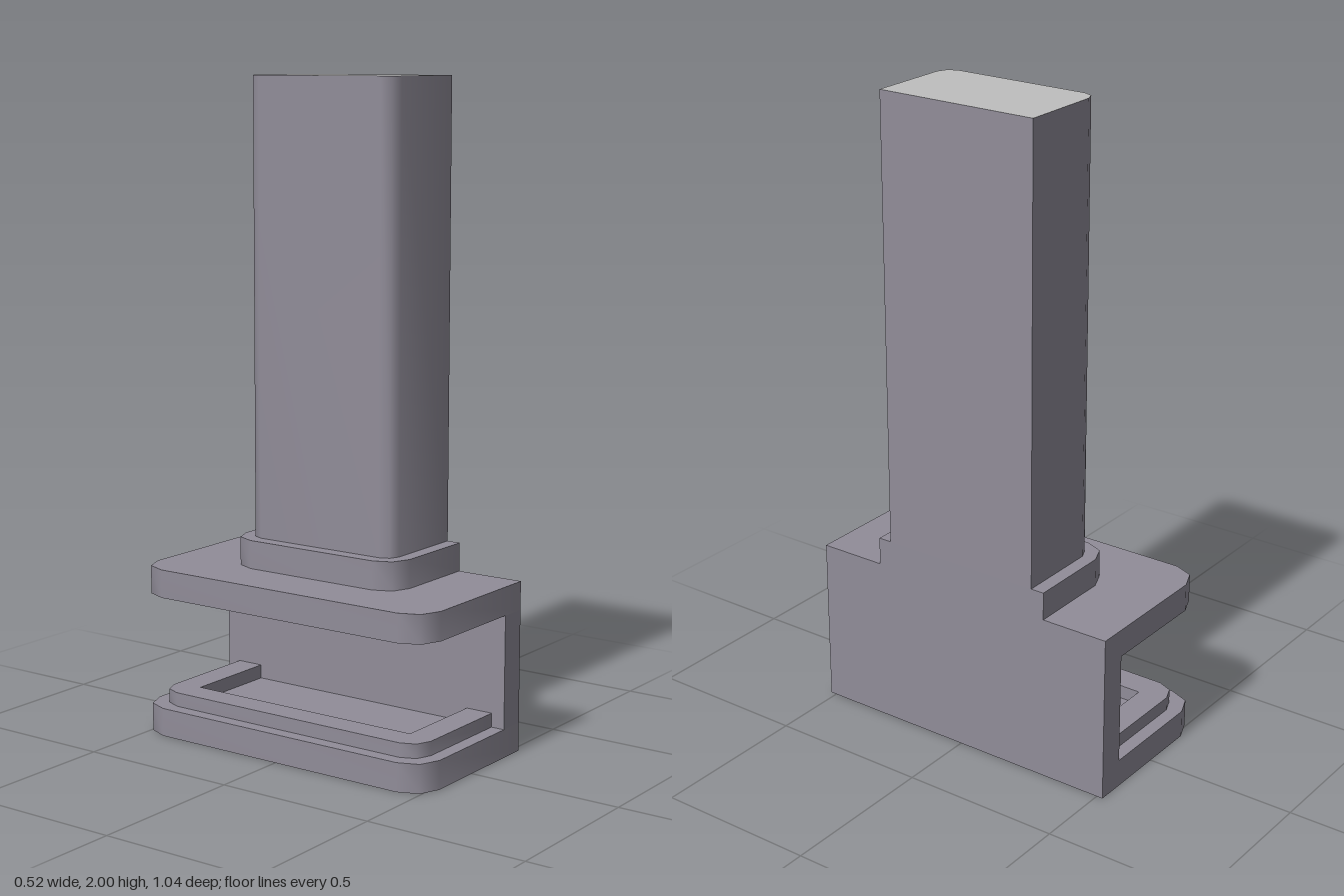
import * as THREE from 'three';
import { toCreasedNormals } from 'three/addons/utils/BufferGeometryUtils.js';

const body = new THREE.MeshStandardMaterial({ color: 0x918d99 });
body.name = 'purple grey body';
const cap = new THREE.MeshStandardMaterial({ color: 0xbfbfbf });
cap.name = 'light grey cap';

const BACK = 0.26;   // flat side shared by all parts
const WALL = 0.175;  // inner face of the upright wall

// Outline with two rounded corners on -x and square corners on +x
function outline(x0, x1, halfZ, r) {
  const pts = [new THREE.Vector2(x1, -halfZ), new THREE.Vector2(x1, halfZ)];
  for (const side of [1, -1]) {
    for (let i = 0; i <= 2; i++) {
      const a = ((side > 0 ? i : 2 - i) * Math.PI) / 4;
      pts.push(new THREE.Vector2(x0 + r - r * Math.sin(a), side * (halfZ - r + r * Math.cos(a))));
    }
  }
  return pts;
}

// Vertical extrusion from y0 to y1, smooth round the corners
function slab(name, pts, y0, y1, material = body) {
  let g = new THREE.ExtrudeGeometry(new THREE.Shape(pts), { depth: y1 - y0, bevelEnabled: false });
  g.rotateX(-Math.PI / 2);
  g.translate(0, y0, 0);
  g = toCreasedNormals(g, 0.9);
  const mesh = new THREE.Mesh(g, material);
  mesh.name = name;
  return mesh;
}

export function createModel() {
  const group = new THREE.Group();
  group.name = 'clampPost';

  // Clamp: two jaws joined by a wall
  const jaw = outline(-0.26, BACK, 0.52, 0.088);
  group.add(slab('lowerJaw', jaw, 0, 0.087));
  group.add(slab('upperJaw', jaw, 0.435, 0.522));
  const wall = new THREE.Mesh(new THREE.BoxGeometry(BACK - WALL, 0.348, 1.04), body);
  wall.position.set((BACK + WALL) / 2, 0.261, 0);
  wall.name = 'wall';
  group.add(wall);

  // Raised U-shaped lip on the lower jaw, open towards the wall
  const lip = outline(-0.217, WALL, 0.477, 0.065);
  const [first, ...rest] = lip;
  const inner = [[WALL, -0.39], [-0.13, -0.39], [-0.13, 0.39], [WALL, 0.39]];
  const lipPts = [first, ...inner.map(([x, z]) => new THREE.Vector2(x, z)), ...rest];
  group.add(slab('lowerLip', lipPts, 0.087, 0.13));

  // Collar and post
  group.add(slab('collar', outline(-0.087, BACK, 0.304, 0.08), 0.522, 0.609));
  group.add(slab('post', outline(-0.043, BACK, 0.261, 0.043), 0.609, 2, [cap, body]));
  return group;
}
